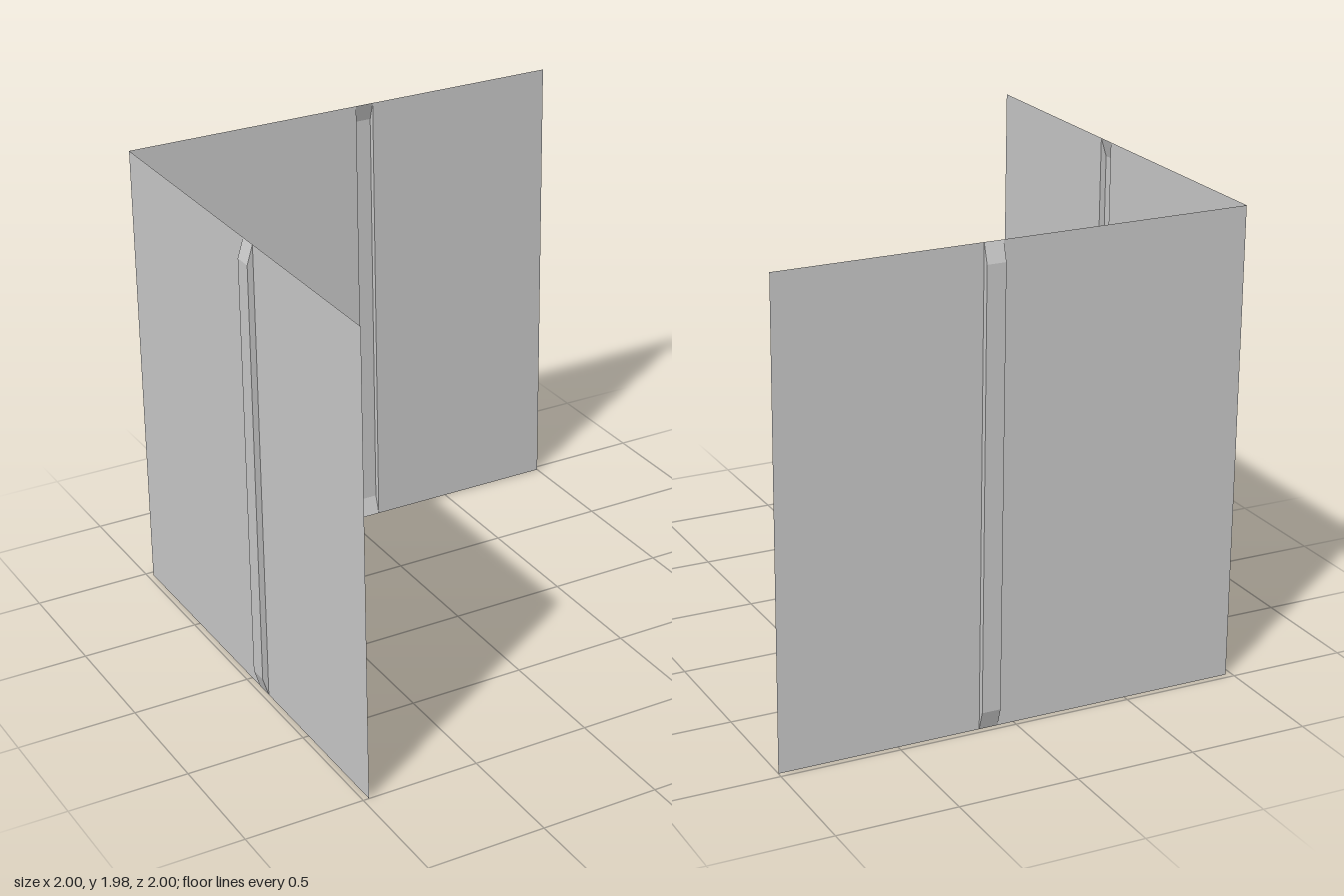
import * as THREE from 'three';

const H = 1.98;              // wall height
const RIM = -0.975;          // plane of the wall
const DEEP = -1;             // plane of the channel floor
const U0 = 0.07, U1 = 0.15;  // channel sides
const Y0 = 0.08, Y1 = 1.9;   // channel floor ends

// Flat convex polygons, fanned into triangles; place maps (along, height, depth) to xyz
function faces(name, polygons, place, material) {
  const positions = [];
  for (const p of polygons) {
    for (let i = 1; i < p.length - 1; i++) {
      for (const corner of [p[0], p[i], p[i + 1]]) positions.push(...place(...corner));
    }
  }
  const geometry = new THREE.BufferGeometry();
  geometry.setAttribute('position', new THREE.Float32BufferAttribute(positions, 3));
  geometry.computeVertexNormals();
  const mesh = new THREE.Mesh(geometry, material);
  mesh.name = name;
  return mesh;
}

const panel = (a, b) => [[a, 0, RIM], [b, 0, RIM], [b, H, RIM], [a, H, RIM]];
const channelSide = (u) => [[u, 0, RIM], [u, Y0, DEEP], [u, Y1, DEEP], [u, H, RIM]];

function createWall(name, place, material) {
  const wall = new THREE.Group();
  wall.name = name;
  // Flat panels on either side of the channel
  wall.add(faces('innerPanel', [panel(RIM, U0)], place, material));
  wall.add(faces('outerPanel', [panel(U1, 1)], place, material));
  // Recessed channel: sloped foot, floor, sloped head and two sides
  const profile = [[0, RIM], [Y0, DEEP], [Y1, DEEP], [H, RIM]];
  const strips = [];
  for (let i = 0; i < 3; i++) {
    const [ya, da] = profile[i], [yb, db] = profile[i + 1];
    strips.push([[U0, ya, da], [U1, ya, da], [U1, yb, db], [U0, yb, db]]);
  }
  wall.add(faces('channel', [...strips, channelSide(U0), channelSide(U1).reverse()], place, material));
  return wall;
}

export function createModel() {
  const model = new THREE.Group();
  model.name = 'cornerWalls';
  const grey = new THREE.MeshStandardMaterial({ color: 0xcccccc, side: THREE.DoubleSide });
  grey.name = 'lightGrey';
  model.add(createWall('backWall', (u, y, d) => [u, y, d], grey));
  model.add(createWall('rightWall', (u, y, d) => [d, y, u], grey));
  return model;
}
